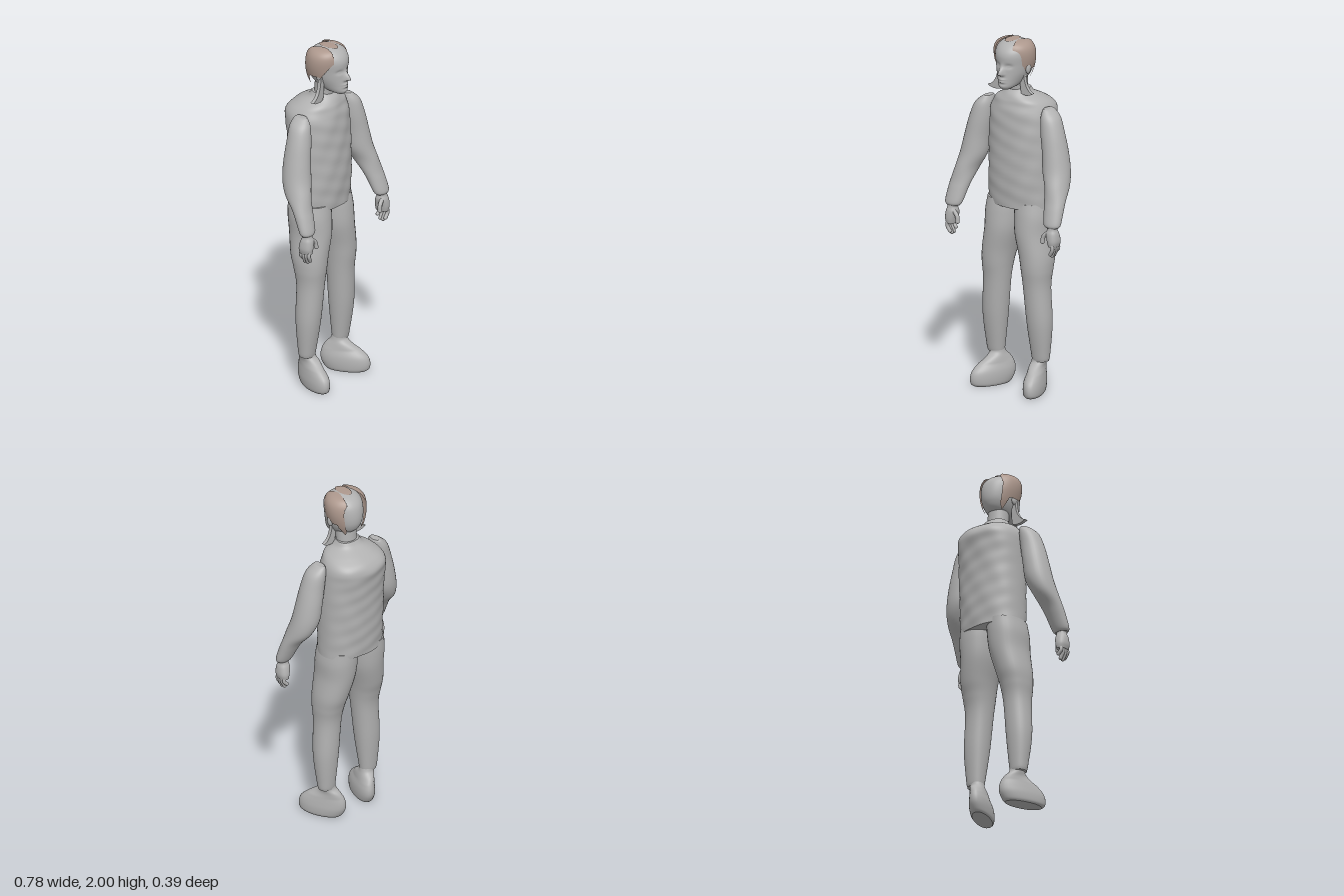
import * as THREE from 'three';

const cloth = new THREE.MeshStandardMaterial({ color: 0xb2b2b2, side: THREE.DoubleSide });
cloth.name = 'plain grey';
const brown = new THREE.MeshStandardMaterial({ color: 0xad988d, side: THREE.DoubleSide });
brown.name = 'light brown';

// Smooth loft through level sections [y, x0, x1, z0, z1], listed from bottom to top.
// sculpt(v) moves a vertex, keep(v) drops faces, power squares off the section.
function loft(name, rings, { segs = 32, steps = 5, power = 2, sculpt, keep, side = 1, material = cloth } = {}) {
  const secs = rings.map(([y, a, b, c, d]) => (side > 0 ? [y, a, b, c, d] : [y, -b, -a, c, d]));
  const curve = (f) => new THREE.CatmullRomCurve3(secs.map(f), false, 'catmullrom', 0.5);
  const mid = curve(([y, a, b, c, d]) => new THREE.Vector3((a + b) / 2, y, (c + d) / 2));
  const rad = curve(([, a, b, c, d]) => new THREE.Vector3((b - a) / 2, 0, (d - c) / 2));
  const rows = (secs.length - 1) * steps, verts = [], index = [];
  const bend = (v) => Math.sign(v) * Math.abs(v) ** (2 / power);
  const addRing = (t, scale = 1) => {
    const m = mid.getPoint(t), r = rad.getPoint(t);
    for (let j = 0; j < segs; j++) {
      const a = (j / segs) * Math.PI * 2;
      const v = new THREE.Vector3(m.x + scale * r.x * bend(Math.cos(a)), m.y, m.z + scale * r.z * bend(Math.sin(a)));
      if (sculpt) sculpt(v);
      verts.push(v);
    }
  };
  const tri = (a, b, c) => {
    if (!keep || [a, b, c].every((i) => keep(verts[i]))) index.push(a, b, c);
  };
  for (let i = 0; i <= rows; i++) addRing(i / rows);
  for (let i = 0; i < rows; i++) {
    for (let j = 0; j < segs; j++) {
      const k = (j + 1) % segs, a = i * segs + j, b = i * segs + k;
      tri(a, a + segs, b);
      tri(b, a + segs, b + segs);
    }
  }
  // End caps
  for (const t of [0, 1]) {
    const o = verts.length;
    addRing(t);
    const m = mid.getPoint(t);
    if (sculpt) sculpt(m);
    verts.push(m);
    for (let j = 0; j < segs; j++) {
      const k = (j + 1) % segs;
      if (t) tri(o + segs, o + k, o + j);
      else tri(o + segs, o + j, o + k);
    }
  }
  const geo = new THREE.BufferGeometry().setFromPoints(verts);
  geo.setIndex(index);
  geo.computeVertexNormals();
  const mesh = new THREE.Mesh(geo, material);
  mesh.name = name;
  return mesh;
}

function ball(name, x, y, z, sx, sy, sz) {
  const mesh = new THREE.Mesh(new THREE.SphereGeometry(1, 16, 12), cloth);
  mesh.name = name;
  mesh.position.set(x, y, z);
  mesh.scale.set(sx, sy, sz);
  return mesh;
}

const bump = (v, x, y, sx, sy) => Math.exp(-(((v.x - x) / sx) ** 2) - ((v.y - y) / sy) ** 2);

// Nose, eye sockets, lips and chin
function sculptFace(v) {
  if (v.z < 0.09) return;
  let d = 0.038 * bump(v, 0, 1.825, 0.013, v.y > 1.825 ? 0.03 : 0.011);
  for (const s of [-1, 1]) {
    d -= 0.009 * bump(v, s * 0.036, 1.868, 0.018, 0.012);
    d += 0.004 * bump(v, s * 0.036, 1.866, 0.009, 0.006);
    d += 0.004 * bump(v, s * 0.012, 1.818, 0.006, 0.006);
  }
  d += 0.008 * bump(v, 0, 1.791, 0.02, 0.006) + 0.008 * bump(v, 0, 1.777, 0.018, 0.006);
  d -= 0.004 * bump(v, 0, 1.764, 0.02, 0.006);
  v.z += d;
}

// Gentle creases in the fabric
function wrinkle(v) {
  v.z += 0.003 * Math.sin(v.x * 34 + v.y * 21) * Math.sin(v.y * 47 - v.x * 13);
}

const headRings = [
  [1.733, -0.025, 0.025, 0.1, 0.15], [1.75, -0.048, 0.048, 0.02, 0.163],
  [1.785, -0.07, 0.07, -0.045, 0.161], [1.825, -0.087, 0.087, -0.072, 0.158],
  [1.87, -0.096, 0.096, -0.08, 0.157], [1.92, -0.1, 0.1, -0.075, 0.159],
  [1.955, -0.094, 0.094, -0.06, 0.145], [1.982, -0.072, 0.072, -0.03, 0.115],
  [1.996, -0.035, 0.035, 0.01, 0.075], [1.998, -0.002, 0.002, 0.04, 0.044],
];
const hairRings = [
  [1.76, -0.075, 0.06, -0.06, 0.12], [1.82, -0.105, 0.09, -0.078, 0.135],
  [1.88, -0.122, 0.107, -0.082, 0.14], [1.93, -0.125, 0.11, -0.078, 0.145],
  [1.965, -0.115, 0.1, -0.066, 0.14], [1.988, -0.09, 0.075, -0.045, 0.122],
  [1.998, -0.05, 0.035, 0.0, 0.09], [2.0, -0.01, -0.006, 0.04, 0.05],
];
const torsoRings = [
  [1.05, -0.19, 0.2, -0.155, 0.12], [1.2, -0.19, 0.2, -0.165, 0.13], [1.4, -0.19, 0.2, -0.175, 0.13],
  [1.53, -0.19, 0.195, -0.187, 0.125], [1.59, -0.185, 0.19, -0.195, 0.12], [1.63, -0.165, 0.175, -0.175, 0.11],
  [1.66, -0.135, 0.145, -0.13, 0.105], [1.69, -0.085, 0.09, -0.075, 0.09], [1.72, -0.065, 0.068, -0.05, 0.062],
];
const legRings = [
  [0.18, 0.105, 0.2, -0.03, 0.05], [0.22, 0.1, 0.207, -0.036, 0.058], [0.4, 0.08, 0.222, -0.05, 0.085],
  [0.6, 0.062, 0.212, -0.055, 0.098], [0.7, 0.05, 0.218, -0.075, 0.11], [0.78, 0.035, 0.218, -0.1, 0.115],
  [0.9, 0.005, 0.203, -0.125, 0.12], [1.0, -0.005, 0.203, -0.137, 0.115], [1.08, -0.005, 0.192, -0.14, 0.105],
];
const armRings = [
  [1.01, 0.3, 0.38, 0.125, 0.18], [1.03, 0.285, 0.391, 0.11, 0.185], [1.1, 0.27, 0.388, 0.075, 0.167],
  [1.15, 0.258, 0.383, 0.045, 0.152], [1.22, 0.24, 0.372, -0.015, 0.137], [1.3, 0.207, 0.358, -0.045, 0.117],
  [1.4, 0.195, 0.337, -0.05, 0.103], [1.5, 0.18, 0.311, -0.046, 0.092], [1.58, 0.175, 0.28, -0.045, 0.078],
  [1.62, 0.18, 0.24, -0.035, 0.055], [1.63, 0.185, 0.222, -0.025, 0.045],
];
const footRings = [
  [0, 0.082, 0.182, -0.045, 0.16], [0.015, 0.075, 0.19, -0.06, 0.176], [0.05, 0.072, 0.192, -0.077, 0.18],
  [0.085, 0.075, 0.188, -0.08, 0.168], [0.12, 0.085, 0.182, -0.072, 0.13], [0.15, 0.093, 0.178, -0.058, 0.09],
  [0.175, 0.1, 0.182, -0.035, 0.055], [0.2, 0.105, 0.185, -0.03, 0.05],
];
const palmRings = [
  [0.905, 0.325, 0.375, 0.11, 0.185], [0.935, 0.318, 0.382, 0.107, 0.19],
  [0.975, 0.31, 0.378, 0.115, 0.187], [1.0, 0.315, 0.37, 0.125, 0.178], [1.03, 0.315, 0.37, 0.128, 0.175],
];

function finger(name, points, radius, side) {
  const group = new THREE.Group();
  group.name = name;
  const path = points.map(([x, y, z]) => new THREE.Vector3(x * side, y, z));
  group.add(new THREE.Mesh(new THREE.TubeGeometry(new THREE.CatmullRomCurve3(path), 8, radius, 10), cloth));
  const tip = path[path.length - 1];
  group.add(ball(name + 'Tip', tip.x, tip.y, tip.z, radius, radius, radius));
  return group;
}

function hand(side) {
  const group = new THREE.Group();
  group.name = side > 0 ? 'leftHand' : 'rightHand';
  group.add(loft('palm', palmRings, { segs: 20, power: 2.4, side }));
  [0.123, 0.141, 0.159, 0.176].forEach((z, i) => {
    const low = [0.872, 0.852, 0.85, 0.862][i];
    group.add(finger('finger', [[0.355, 0.925, z], [0.362, 0.892, z], [0.345, low, z - 0.003]], 0.0105, side));
  });
  group.add(finger('thumb', [[0.33, 0.985, 0.165], [0.297, 0.955, 0.172], [0.292, 0.925, 0.174]], 0.012, side));
  return group;
}

// Loose lock of hair that flares out above the shoulder
function lock(side) {
  const s = new THREE.Shape();
  s.moveTo(-0.1, 1.84);
  s.quadraticCurveTo(-0.1, 1.73, -0.17, 1.708);
  s.quadraticCurveTo(-0.13, 1.685, -0.082, 1.7);
  s.quadraticCurveTo(-0.065, 1.75, -0.08, 1.84);
  const mesh = new THREE.Mesh(new THREE.ExtrudeGeometry(s, { depth: 0.02, bevelEnabled: false, curveSegments: 10 }), cloth);
  mesh.name = side > 0 ? 'leftLock' : 'rightLock';
  mesh.position.z = 0.045;
  if (side > 0) {
    mesh.scale.x = -0.85;
    mesh.position.x = -0.008;
  }
  return mesh;
}

export function createModel() {
  const model = new THREE.Group();
  model.name = 'standingFigure';

  // Head, neck and hair
  model.add(loft('head', headRings, { segs: 96, steps: 10, sculpt: sculptFace }));
  model.add(loft('neck', [[1.62, -0.075, 0.075, -0.05, 0.085], [1.7, -0.06, 0.06, -0.04, 0.07], [1.8, -0.06, 0.06, -0.035, 0.09]]));
  const sideHair = (v) => Math.abs(v.x + 0.008) > 0.035 + 0.25 * Math.abs(v.z - 0.05)
    && v.z < 0.135 - Math.max(0, 1.93 - v.y) * 0.7
    && v.z > -0.05 && (v.y > 1.84 || v.z < 0.3 * (v.y - 1.84) - 0.005);
  model.add(loft('sideHair', hairRings, { segs: 128, steps: 12, keep: sideHair, material: brown }));
  const crown = (v) => ((v.x + 0.008) / 0.034) ** 2 + ((v.z - 0.05) / 0.06) ** 2 < 1;
  model.add(loft('crownHair', hairRings, { segs: 96, steps: 16, keep: crown, material: brown }));

  // Jacket body
  model.add(loft('torso', torsoRings, { segs: 64, steps: 10, power: 2.2, sculpt: wrinkle }));

  // Paired parts
  for (const side of [1, -1]) {
    const label = side > 0 ? 'left' : 'right';
    model.add(loft(label + 'Sleeve', armRings, { side }));
    model.add(hand(side));
    model.add(loft(label + 'TrouserLeg', legRings, { side, power: 2.15, steps: 8 }));
    const turnOut = (v) => { v.x += side * (v.z - 0.01) * 0.33 * THREE.MathUtils.clamp((0.2 - v.y) / 0.08, 0, 1); };
    model.add(loft(label + 'Shoe', footRings, { side, power: 2.1, sculpt: turnOut }));
    model.add(ball(label + 'Ear', side * 0.094, 1.845, 0.045, 0.012, 0.03, 0.02));
    model.add(lock(side));
  }
  return model;
}
